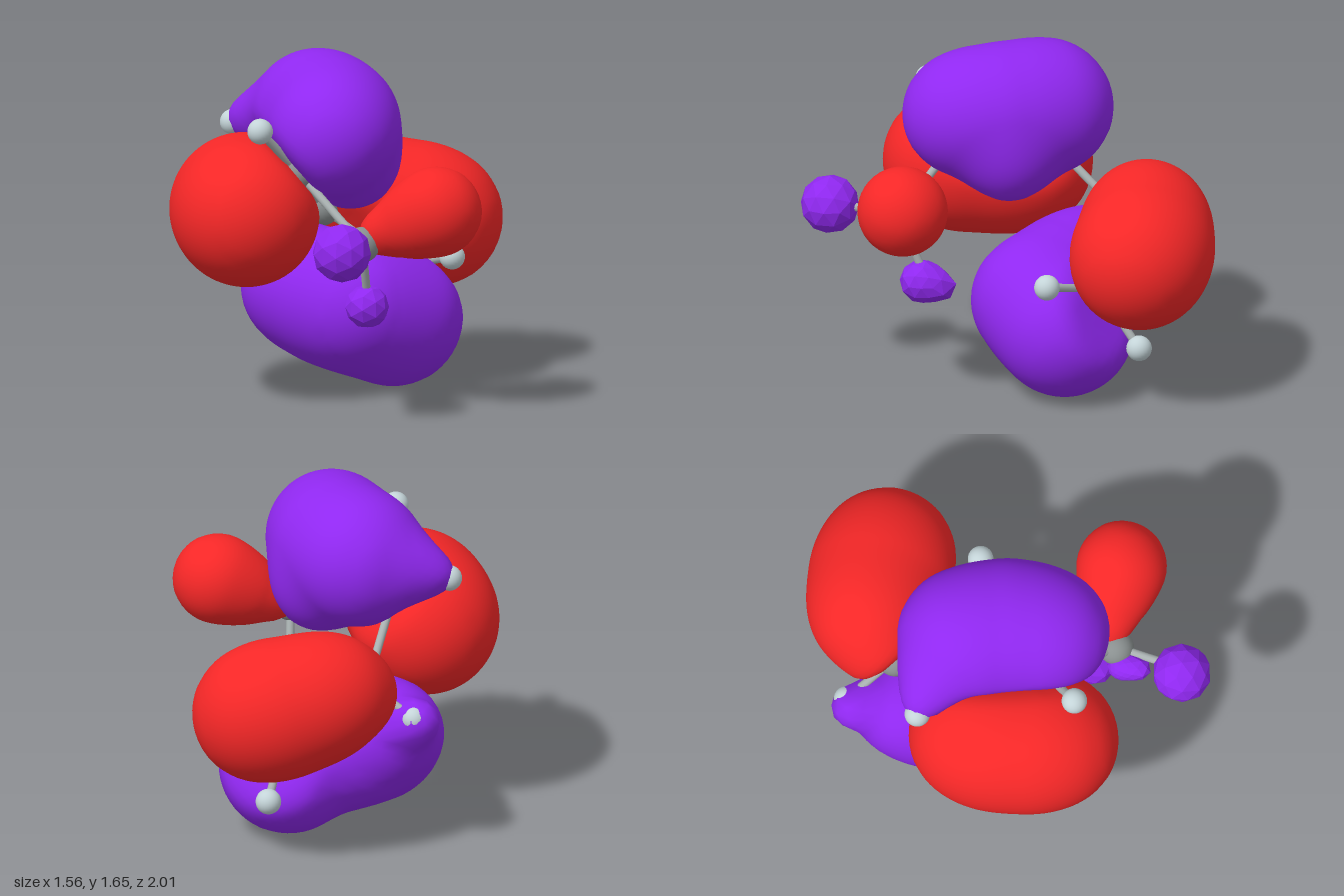
import * as THREE from 'three';
import { mergeVertices } from 'three/addons/utils/BufferGeometryUtils.js';

const V = (a) => new THREE.Vector3(...a);
const mat = (color, flatShading = false) => new THREE.MeshStandardMaterial({ color, flatShading });
const PURPLE = 0x9028f0, RED = 0xf52727;

// Smooth union of two signed distances
const blend = (a, b, k) => {
  const h = Math.max(k - Math.abs(a - b), 0) / k;
  return Math.min(a, b) - h * h * k * 0.25;
};
// Distance to a blended group of balls, each [x, y, z, radius]
const ballField = (balls, p) =>
  balls.reduce((d, [x, y, z, r]) => blend(d, Math.hypot(p.x - x, p.y - y, p.z - z) - r, 0.1), 10);

// Lobe: a sphere whose vertices shrink inward onto the blended balls.
// The body keeps one side of a nodal plane; the bumps are added after the cut.
function lobe(name, color, { center, body, bumps = [], plane = null, side = 1, detail = 14, flat = false }) {
  const c = V(center);
  const field = (p) => {
    let d = ballField(body, p);
    if (plane) {
      const height = side * plane.normal.dot(p.clone().sub(plane.point));
      d = -blend(-d, height - 0.005, 0.06);
    }
    return bumps.length ? blend(d, ballField(bumps, p), 0.13) : d;
  };
  let geo = new THREE.IcosahedronGeometry(1, detail);
  geo.deleteAttribute('uv');
  geo.deleteAttribute('normal');
  geo = mergeVertices(geo, 1e-5);
  const pos = geo.attributes.position, dir = new THREE.Vector3(), p = new THREE.Vector3();
  for (let i = 0; i < pos.count; i++) {
    dir.fromBufferAttribute(pos, i).normalize();
    let t = 1.1;
    for (let n = 0; n < 600 && t > 0.02; n++) {
      const d = field(p.copy(c).addScaledVector(dir, t));
      if (d < 0.001) break;
      t -= Math.max(d * 0.9, 0.002);
    }
    p.copy(c).addScaledVector(dir, t);
    pos.setXYZ(i, p.x, p.y, p.z);
  }
  geo.computeVertexNormals();
  const mesh = new THREE.Mesh(geo, mat(color, flat));
  mesh.name = name;
  return mesh;
}

export function createModel() {
  const model = new THREE.Group();
  model.name = 'molecularOrbital';

  // Atoms: a bent chain of five carbons and eight hydrogens
  const carbons = [
    [0.23, 0.84, 0.52], [-0.12, 1.13, 0.31], [-0.28, 1.12, -0.07],
    [-0.17, 0.81, -0.45], [0.22, 0.55, -0.45],
  ].map(V);
  const hydrogens = [ // [carbon index, position]
    [0, [0.22, 0.88, 0.85]], [0, [0.23, 0.52, 0.38]], [0, [0.56, 0.99, 0.43]],
    [1, [-0.27, 1.36, 0.49]], [2, [-0.55, 1.26, -0.2]], [3, [-0.4, 0.7, -0.61]],
    [4, [0.5, 0.64, -0.26]], [4, [0.29, 0.29, -0.66]],
  ];
  const carbonMat = mat(0x8a9090), hydrogenMat = mat(0xc4d4d8), bondMat = mat(0xa8b0b0);

  const atom = (name, at, r, material) => {
    const m = new THREE.Mesh(new THREE.SphereGeometry(r, 24, 16), material);
    m.position.copy(at);
    m.name = name;
    model.add(m);
  };
  const bond = (a, b) => {
    const axis = b.clone().sub(a);
    const m = new THREE.Mesh(new THREE.CylinderGeometry(0.02, 0.02, axis.length(), 12), bondMat);
    m.position.copy(a).add(b).multiplyScalar(0.5);
    m.quaternion.setFromUnitVectors(new THREE.Vector3(0, 1, 0), axis.normalize());
    m.name = 'bond';
    model.add(m);
  };
  carbons.forEach((c, i) => {
    atom('carbonAtom', c, 0.085, carbonMat);
    if (i) bond(carbons[i - 1], c);
  });
  hydrogens.forEach(([i, at]) => {
    atom('hydrogenAtom', V(at), 0.061, hydrogenMat);
    bond(carbons[i], V(at));
  });

  // Nodal planes that part each pair of large lobes
  const upper = { normal: V([0.71, 0.63, -0.31]).normalize(), point: V([-0.2, 1.12, 0.12]) };
  const lower = { normal: V([0.32, 0.46, -0.83]).normalize(), point: V([0.02, 0.68, -0.45]) };

  model.add(
    // Large lobes around the upper double bond
    lobe('upperPurpleLobe', PURPLE, {
      center: [-0.02, 1.32, 0.04], plane: upper, side: 1,
      body: [[0.03, 1.31, 0.24, 0.3], [-0.12, 1.32, -0.11, 0.325], [-0.01, 1.32, 0.06, 0.32], [0.07, 1.14, 0.02, 0.225]],
      bumps: [[-0.49, 1.28, -0.2, 0.08], [-0.38, 1.3, -0.2, 0.13]],
    }),
    lobe('leftRedLobe', RED, {
      center: [-0.42, 0.91, 0.22], plane: upper, side: -1,
      body: [[-0.35, 0.93, 0.39, 0.33], [-0.41, 0.925, 0.23, 0.34], [-0.43, 0.92, 0.07, 0.335]],
    }),
    // Large lobes around the lower double bond
    lobe('backRedLobe', RED, {
      center: [0.16, 0.79, -0.68], plane: lower, side: 1,
      body: [[0.32, 0.745, -0.67, 0.33], [0.16, 0.785, -0.665, 0.32], [0, 0.83, -0.63, 0.29], [-0.14, 0.8, -0.53, 0.165]],
    }),
    lobe('lowerPurpleLobe', PURPLE, {
      center: [0.04, 0.42, -0.22], plane: lower, side: -1,
      body: [[0.21, 0.335, -0.28, 0.33], [0.08, 0.415, -0.12, 0.315], [-0.22, 0.47, -0.25, 0.295], [-0.06, 0.42, -0.2, 0.31]],
      bumps: [[-0.41, 0.67, -0.57, 0.11], [-0.33, 0.56, -0.4, 0.18]],
    }),
    // Small lobes on the end group
    lobe('smallRedLobe', RED, {
      center: [0.52, 0.97, 0.43], detail: 7,
      body: [[0.57, 0.995, 0.425, 0.215], [0.42, 0.93, 0.44, 0.15], [0.29, 0.88, 0.46, 0.085]],
    }),
    lobe('frontPurpleLobe', PURPLE, {
      center: [0.205, 0.865, 0.86], detail: 1, flat: true,
      body: [[0.205, 0.865, 0.86, 0.14]],
    }),
    lobe('bottomPurpleLobe', PURPLE, {
      center: [0.23, 0.52, 0.39], detail: 1, flat: true,
      body: [[0.23, 0.52, 0.41, 0.105], [0.23, 0.5, 0.29, 0.05]],
    }),
    lobe('purpleLink', PURPLE, {
      center: [0.17, 0.8, 0.59], detail: 2, flat: true,
      body: [[0.17, 0.79, 0.57, 0.07], [0.17, 0.83, 0.67, 0.045]],
    }),
  );
  return model;
}
